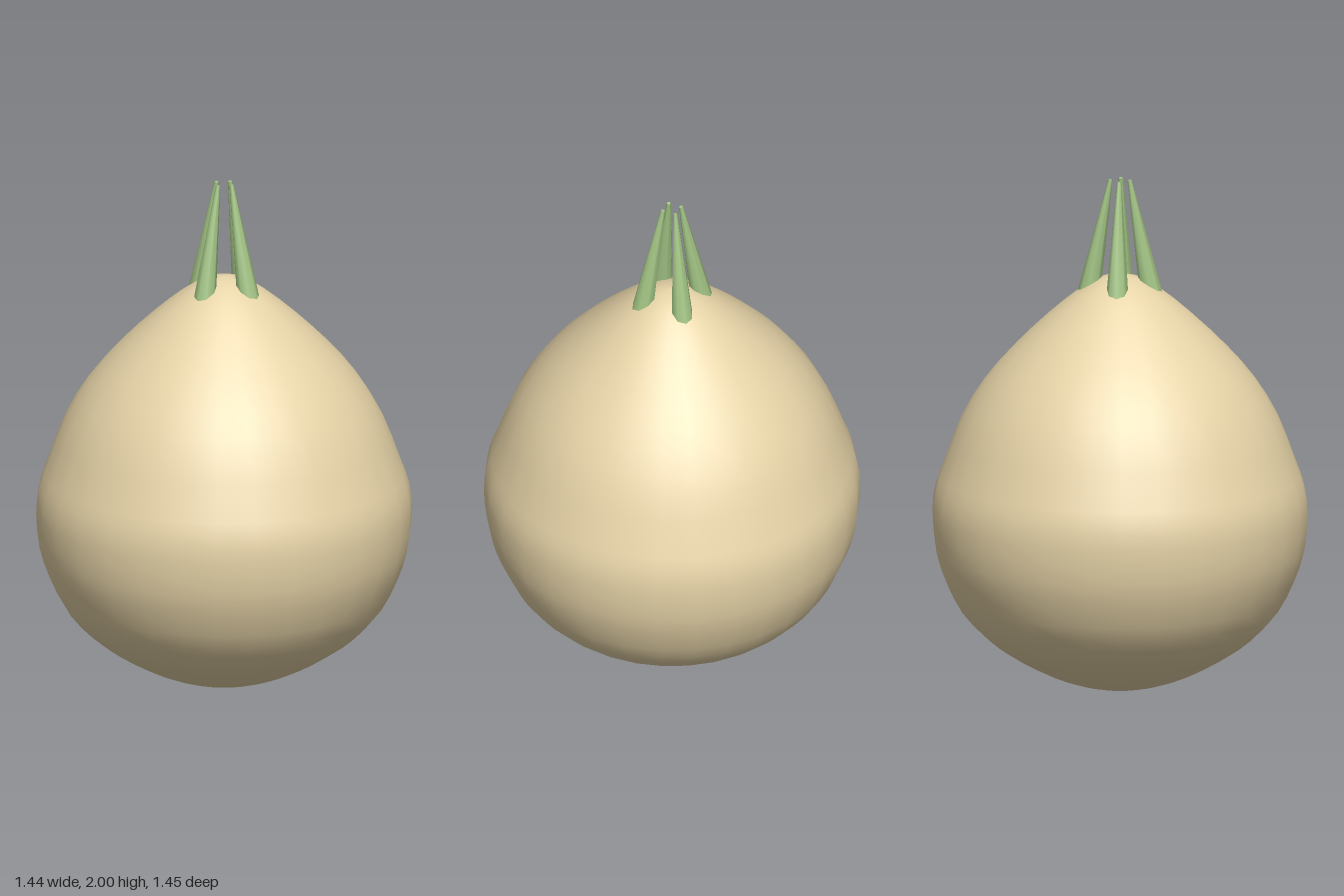
import * as THREE from 'three';

export function createModel() {
  const model = new THREE.Group();
  model.name = 'onion';
  const skin = new THREE.MeshStandardMaterial({ color: 0xe6d3a7 });
  const green = new THREE.MeshStandardMaterial({ color: 0xa3c585 });

  // Bulb: round below, drawn in to a blunt shoulder at the top
  const profile = new THREE.SplineCurve([
    [0, 0], [0.12, 0.012], [0.235, 0.045], [0.345, 0.095], [0.445, 0.155],
    [0.525, 0.215], [0.612, 0.31], [0.673, 0.43], [0.712, 0.55], [0.725, 0.69],
    [0.713, 0.79], [0.678, 0.89], [0.613, 1.06], [0.523, 1.21], [0.412, 1.34],
    [0.282, 1.465], [0.167, 1.56], [0.075, 1.615], [0, 1.63],
  ].map(([r, y]) => new THREE.Vector2(r, y))).getPoints(36);
  profile.forEach((p) => { p.x = Math.max(p.x, 0); });
  const bulb = new THREE.Mesh(new THREE.LatheGeometry(profile, 30), skin);
  bulb.name = 'bulb';
  model.add(bulb);

  // Four tapered sprouts leaning in towards the axis
  const base = new THREE.Vector3(0, 1.5, 0.13);
  const tip = new THREE.Vector3(0, 1.999, 0.037);
  const axis = tip.clone().sub(base);
  const shape = new THREE.CylinderGeometry(0.008, 0.048, axis.length(), 8);
  for (let i = 0; i < 4; i++) {
    const sprout = new THREE.Group();
    sprout.name = `sprout${i + 1}`;
    const blade = new THREE.Mesh(shape, green);
    blade.name = 'sproutBlade';
    blade.position.copy(base).add(tip).multiplyScalar(0.5);
    blade.rotation.x = Math.atan2(axis.z, axis.y);
    sprout.add(blade);
    sprout.rotation.y = (i * Math.PI) / 2;
    model.add(sprout);
  }
  return model;
}
